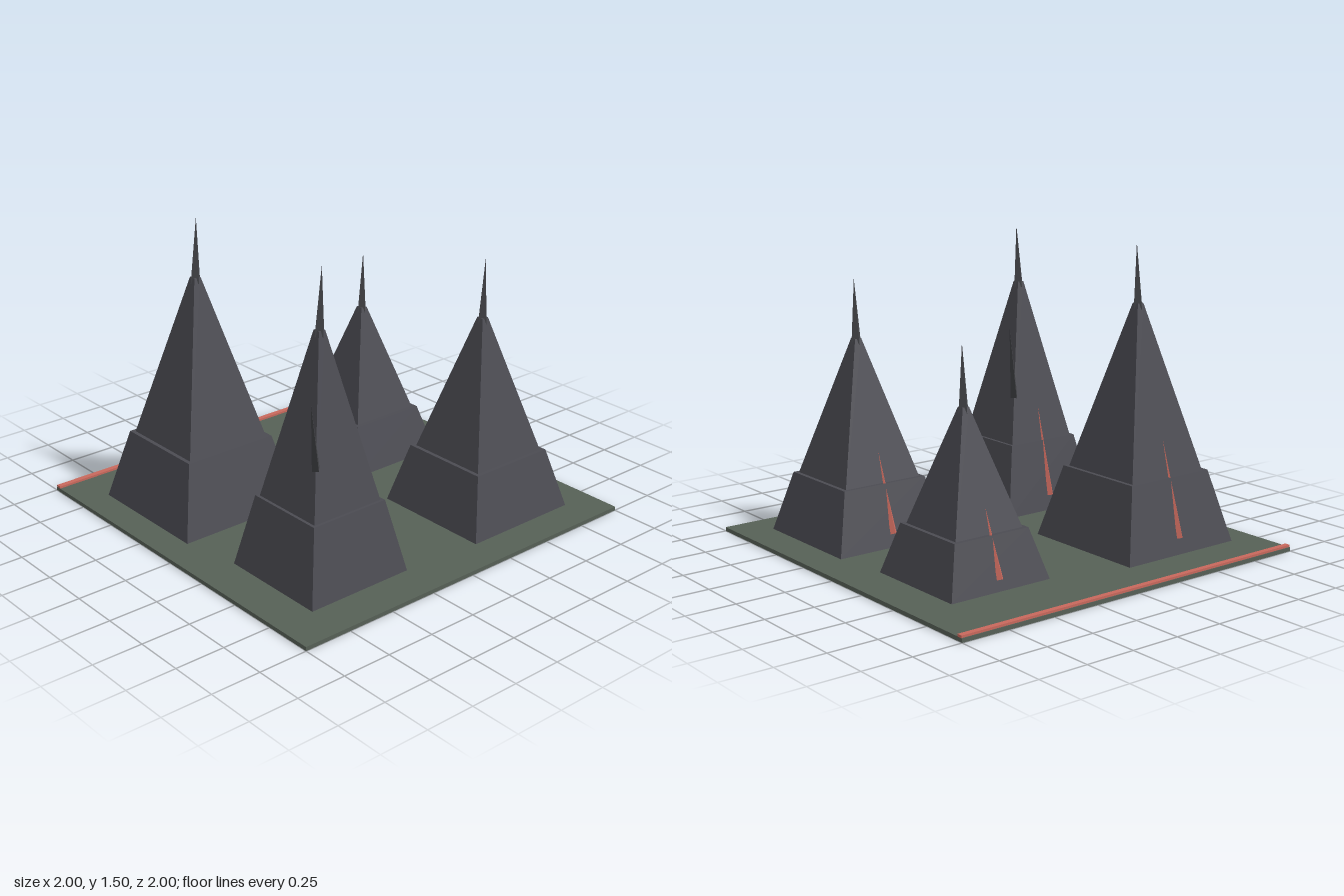
import * as THREE from 'three';

const material = (name, color) => Object.assign(new THREE.MeshStandardMaterial({ color }), { name });

export function createModel() {
  const stone = material('darkStone', 0x4b4b52);
  const spikeStone = material('spikeStone', 0x444549);
  const moss = material('mossGround', 0x566056);
  const red = material('redGlow', 0xc8685c);
  const model = new THREE.Group();
  model.name = 'spireField';

  // Faceted mesh with one normal per face
  const add = (parent, name, geometry, mat) => {
    const flat = geometry.toNonIndexed();
    flat.computeVertexNormals();
    const mesh = new THREE.Mesh(flat, mat);
    mesh.name = name;
    parent.add(mesh);
    return mesh;
  };

  // Square frustum between two heights, given half widths
  const frustum = (parent, name, bottom, top, y0, y1) => {
    const g = new THREE.CylinderGeometry(top * Math.SQRT2, bottom * Math.SQRT2, y1 - y0, 4);
    g.rotateY(Math.PI / 4);
    g.translate(0, (y0 + y1) / 2, 0);
    add(parent, name, g, stone);
  };

  // Four-sided spike running from a base point to a tip
  const spike = (parent, name, from, to, radius, mat) => {
    const a = new THREE.Vector3(...from);
    const b = new THREE.Vector3(...to);
    const mesh = add(parent, name, new THREE.ConeGeometry(radius, a.distanceTo(b), 4), mat);
    mesh.position.copy(a).lerp(b, 0.5);
    mesh.quaternion.setFromUnitVectors(new THREE.Vector3(0, 1, 0), b.sub(a).normalize());
  };

  // Ground slab and the red strip along its back edge
  const ground = new THREE.BoxGeometry(2, 0.02, 2);
  ground.translate(0, 0.01, 0);
  add(model, 'ground', ground, moss);
  const strip = new THREE.BoxGeometry(2, 0.012, 0.028);
  strip.translate(0, 0.025, -0.982);
  add(model, 'backStrip', strip, red);

  // Spires: position, half widths of foot / ledge / upper body, height, top spike, lean
  const spires = [
    { name: 'backRightSpire', x: -0.51, z: -0.41, foot: 0.34, ledge: 0.25, body: 0.23, h: 1.18, lean: 0.015 },
    { name: 'backLeftSpire', x: 0.507, z: -0.36, foot: 0.28, ledge: 0.21, body: 0.19, h: 0.8, lean: 0.007 },
    { name: 'frontRightSpire', x: -0.51, z: 0.51, foot: 0.285, ledge: 0.21, body: 0.195, h: 1.18, lean: 0.015, horns: true },
    { name: 'frontLeftSpire', x: 0.51, z: 0.51, foot: 0.315, ledge: 0.235, body: 0.215, h: 0.99, lean: 0.007 },
  ];
  for (const s of spires) {
    const spire = new THREE.Group();
    spire.name = s.name;
    spire.position.set(s.x, 0.02, s.z);
    model.add(spire);
    const ledgeY = s.h * 0.305;
    frustum(spire, 'lowerBody', s.foot, s.ledge, 0, ledgeY);
    frustum(spire, 'upperBody', s.body, 0.018, ledgeY, s.h);
    spike(spire, 'topSpike', [0, s.h - 0.03, 0], [s.lean, s.h + 0.295, 0], 0.028, spikeStone);

    // Red sliver lying up the back face across the ledge
    const low = s.h * 0.064;
    const high = s.h * 0.458;
    const zLow = -(s.foot + (s.ledge - s.foot) * low / ledgeY) - 0.002;
    const zHigh = -(s.body + (0.018 - s.body) * (high - ledgeY) / (s.h - ledgeY)) - 0.007;
    spike(spire, 'redSliver', [0, low, zLow], [0, high, zHigh], 0.018, red);

    // Two slanted horns on opposite corners
    if (s.horns) for (const side of [-1, 1]) {
      spike(spire, 'cornerHorn', [side * 0.148, 0.605, -side * 0.148],
        [side * 0.293, 1.005, -side * 0.293], 0.022, spikeStone);
    }
  }
  return model;
}
